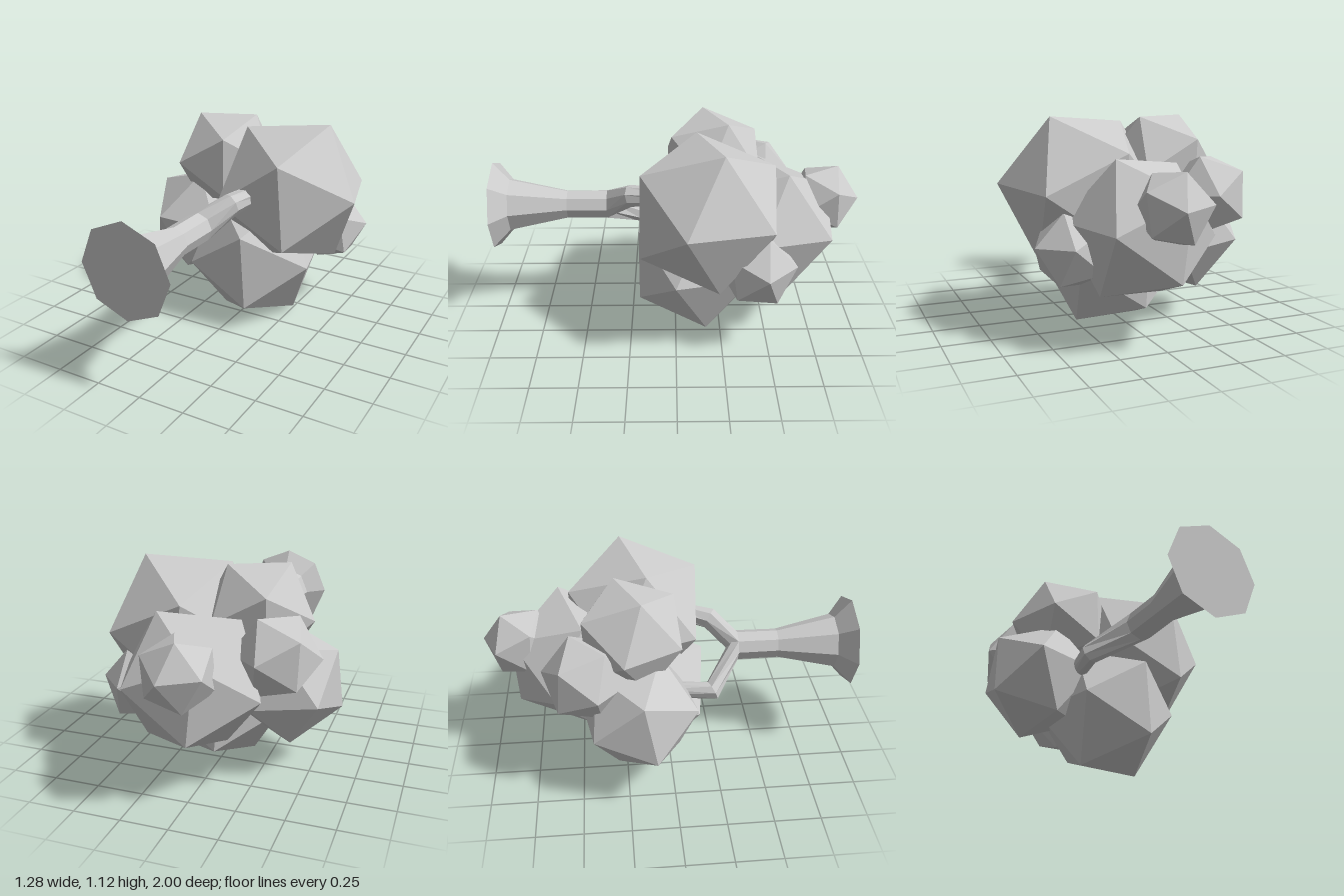
import * as THREE from 'three';

const material = new THREE.MeshStandardMaterial({ color: 0xcccccc, flatShading: true });
const vec = (p) => new THREE.Vector3(...p);

function addMesh(group, name, geometry) {
  const mesh = new THREE.Mesh(geometry, material);
  mesh.name = name;
  group.add(mesh);
  return mesh;
}

// Orthonormal frame whose first axis is a and whose second leans towards b
function frame(a, b) {
  const x = a.clone().normalize();
  const z = x.clone().cross(b).normalize();
  return new THREE.Matrix4().makeBasis(x, z.clone().cross(x), z);
}

// Icosahedron turned so one corner points to a and a neighbouring corner to b
function leafClump(center, radius, a, b) {
  const c = vec(center);
  const t = (1 + Math.sqrt(5)) / 2;
  const from = frame(new THREE.Vector3(-1, t, 0), new THREE.Vector3(1, t, 0));
  const to = frame(vec(a).sub(c), vec(b).sub(c));
  return new THREE.IcosahedronGeometry(radius, 0)
    .applyMatrix4(to.multiply(from.transpose()))
    .translate(c.x, c.y, c.z);
}

// Faceted tapering limb: rings of a cylinder moved onto a path
function limb(points, radii, sides = 8) {
  const path = points.map(vec);
  const last = path.length - 1;
  const geo = new THREE.CylinderGeometry(1, 1, 1, sides, last, true);
  const { position, uv } = geo.attributes;
  const up = new THREE.Vector3(0, 1, 0);
  const turns = path.map((p, i) => {
    const axis = i === 0
      ? new THREE.Vector3(0, 0, 1)
      : path[i - 1].clone().sub(path[Math.min(i + 1, last)]).normalize();
    return new THREE.Quaternion().setFromUnitVectors(up, axis);
  });
  for (let i = 0; i < position.count; i++) {
    const row = Math.round((1 - uv.getY(i)) * last);
    const v = new THREE.Vector3(position.getX(i), 0, position.getZ(i))
      .multiplyScalar(radii[row]).applyQuaternion(turns[row]).add(path[row]);
    position.setXYZ(i, v.x, v.y, v.z);
  }
  geo.computeVertexNormals();
  return geo;
}

export function createModel() {
  const tree = new THREE.Group();
  tree.name = 'lyingTree';

  // Trunk with flared root, lying along z
  const profile = [[0, 0.36], [0.082, 0.38], [0.08, 0.6], [0.15, 0.915], [0.25, 1], [0, 1]];
  const trunk = addMesh(tree, 'trunk',
    new THREE.LatheGeometry(profile.map((p) => new THREE.Vector2(...p)), 8));
  trunk.rotation.x = Math.PI / 2;
  trunk.position.set(-0.04, 0.66, 0);

  // Forked branches reaching into the crown
  const fork = [-0.04, 0.66, 0.38];
  addMesh(tree, 'rightBranch',
    limb([fork, [-0.25, 0.51, 0.22], [-0.2, 0.5, -0.05]], [0.082, 0.055, 0.045]));
  addMesh(tree, 'leftBranch',
    limb([fork, [0.08, 0.765, 0.24], [0.16, 0.8, 0]], [0.082, 0.06, 0.045]));

  // Crown: centre, radius, one corner, a neighbouring corner
  const clumps = [
    ['upperLeftClump', [0.23, 0.74, -0.17], 0.435, [0.42, 1.13, -0.24], [0.31, 0.98, 0.18]],
    ['bottomClump', [0.04, 0.35, -0.12], 0.392, [-0.14, 0.005, -0.07], [0.26, 0.03, -0.17]],
    ['lowerRightClump', [-0.35, 0.485, -0.18], 0.329, [-0.47, 0.55, 0.12], [-0.64, 0.345, -0.1]],
    ['upperRightClump', [-0.2, 0.86, -0.21], 0.306, [-0.35, 1.12, -0.16], [-0.1, 1.035, 0.02]],
    ['backClump', [0.05, 0.58, -0.52], 0.395, [0.295, 0.605, -0.815], [0.2, 0.94, -0.58]],
    ['smallLeftClump', [0.37, 0.48, -0.43], 0.21, [0.58, 0.51, -0.47], [0.45, 0.67, -0.48]],
    ['tipClump', [0.01, 0.72, -0.805], 0.198, [0.04, 0.73, -1], [-0.02, 0.91, -0.86]],
    ['smallRightClump', [-0.36, 0.72, -0.45], 0.23, [-0.315, 0.74, -0.68], [-0.5, 0.84, -0.56]],
  ];
  for (const [name, ...shape] of clumps) addMesh(tree, name, leafClump(...shape));

  return tree;
}
